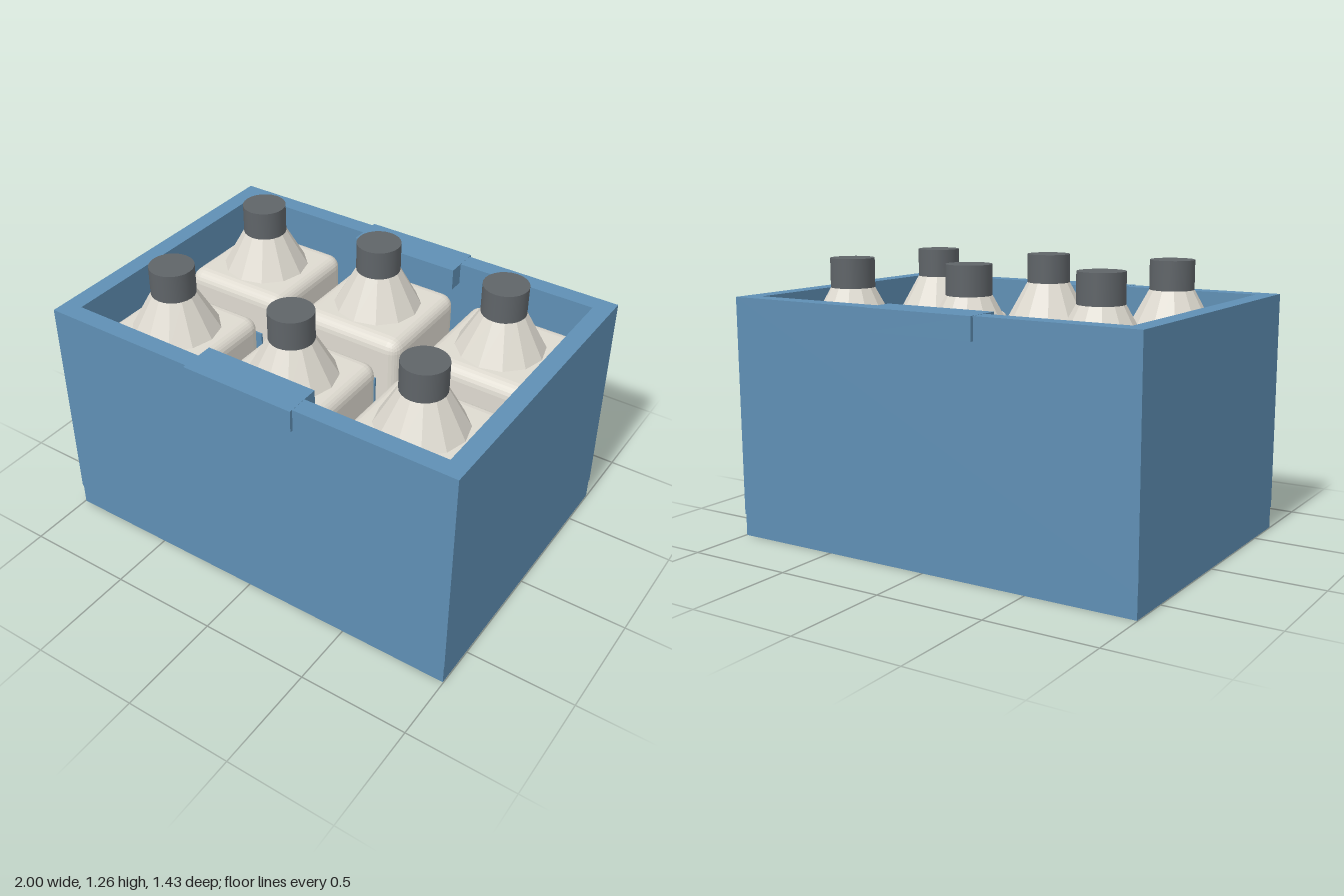
import * as THREE from 'three';
import { RoundedBoxGeometry } from 'three/addons/geometries/RoundedBoxGeometry.js';

function material(name, color, flatShading = false) {
  const m = new THREE.MeshStandardMaterial({ color, flatShading });
  m.name = name;
  return m;
}

function add(parent, name, geometry, mat, x, y, z) {
  const mesh = new THREE.Mesh(geometry, mat);
  mesh.name = name;
  mesh.position.set(x, y, z);
  parent.add(mesh);
  return mesh;
}

function rectangle(PathType, hx, hz) {
  return new PathType([[-hx, -hz], [hx, -hz], [hx, hz], [-hx, hz]].map(([x, z]) => new THREE.Vector2(x, z)));
}

export function createModel() {
  const model = new THREE.Group();
  model.name = 'bottleCrate';
  const blue = material('crate blue', 0x5f8fb4);
  const cream = material('bottle cream', 0xdedad0, true);
  const grey = material('cap grey', 0x5f6468);

  // Open crate: floor slab plus a frame of walls
  const crate = new THREE.Group();
  crate.name = 'crate';
  model.add(crate);
  add(crate, 'floor', new THREE.BoxGeometry(1.994, 0.1, 1.394), blue, 0, 0.05, 0);
  const outline = rectangle(THREE.Shape, 1, 0.7);
  outline.holes.push(rectangle(THREE.Path, 0.917, 0.617));
  const walls = new THREE.ExtrudeGeometry(outline, { depth: 1, bevelEnabled: false });
  walls.rotateX(-Math.PI / 2);
  add(crate, 'walls', walls, blue, 0, 0.1, 0);

  // Grip blocks through the front and back rims
  for (const side of [-1, 1]) {
    add(crate, side > 0 ? 'frontGrip' : 'backGrip',
      new THREE.BoxGeometry(0.53, 0.101, 0.167), blue, 0, 1.0505, side * 0.6315);
  }

  // Six square bottles in two rows
  const body = new RoundedBoxGeometry(0.53, 0.855, 0.53, 3, 0.06);
  const shoulder = new THREE.CylinderGeometry(0.1, 0.2, 0.18, 12, 1);
  const cap = new THREE.CylinderGeometry(0.1, 0.1, 0.132, 24);
  const label = new THREE.BoxGeometry(0.33, 0.4, 0.009);
  for (const z of [-0.333, 0.333]) {
    for (const x of [-0.633, 0, 0.633]) {
      const bottle = new THREE.Group();
      bottle.name = 'bottle';
      bottle.position.set(x, 0, z);
      model.add(bottle);
      add(bottle, 'body', body, cream, 0, 0.5275, 0);
      add(bottle, 'shoulder', shoulder, cream, 0, 1.043, 0);
      add(bottle, 'cap', cap, grey, 0, 1.199, 0);
      add(bottle, 'label', label, blue, 0, 0.55, 0.2695);
    }
  }
  return model;
}
